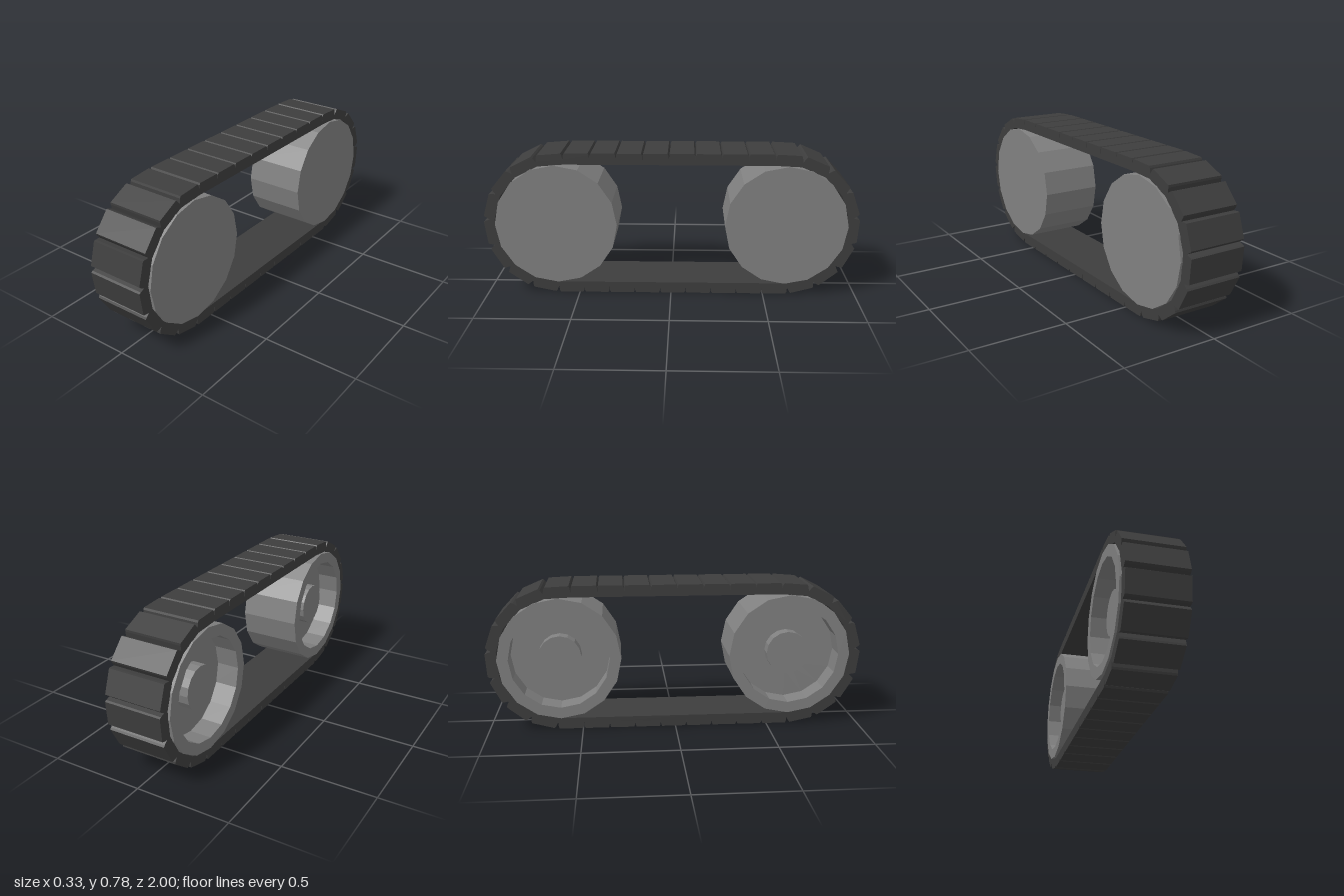
import * as THREE from 'three';

const AXLE_Z = 0.615, AXLE_Y = 0.39;
const WHEEL_R = 0.327, PITCH_R = 0.336;
const PADS = 33, BELT_W = 0.307, FIRST_JOINT = 0.01;

// Point on the stadium-shaped loop at distance s from the top middle
function loopPoint(s, r) {
  const arc = Math.PI * PITCH_R, straight = 2 * AXLE_Z;
  const half = straight + arc;
  const flip = s >= half ? -1 : 1;
  const t = s % half;
  const p = new THREE.Vector2();
  if (t < AXLE_Z) p.set(t, r);
  else if (t < AXLE_Z + arc) {
    const a = (t - AXLE_Z) / PITCH_R;
    p.set(AXLE_Z + r * Math.sin(a), r * Math.cos(a));
  } else p.set(AXLE_Z - (t - AXLE_Z - arc), -r);
  return p.multiplyScalar(flip);
}

// One closed band: smooth-running inside, separate tread pads outside
function makeTrack(material) {
  const length = 4 * AXLE_Z + 2 * Math.PI * PITCH_R;
  const joint = (i) => FIRST_JOINT + ((i % PADS) / PADS) * length;
  const outer = [], inner = [];
  for (let i = 0; i < PADS; i++) {
    const a = loopPoint(joint(i), PITCH_R), b = loopPoint(joint(i + 1), PITCH_R);
    const along = b.clone().sub(a).normalize();
    const out = new THREE.Vector2(-along.y, along.x);
    const corner = (p, shift, lift) =>
      p.clone().addScaledVector(along, shift).addScaledVector(out, lift);
    outer.push(
      loopPoint(joint(i), PITCH_R + 0.02),
      corner(a, 0.002, 0.044),
      corner(a, 0.007, 0.054),
      corner(b, -0.007, 0.054),
      corner(b, -0.002, 0.044)
    );
    inner.push(loopPoint(joint(i), PITCH_R - 0.006));
  }
  const shape = new THREE.Shape(outer);
  // The hole runs opposite to the outline so its walls face inward
  shape.holes.push(new THREE.Path(inner.reverse()));
  const geometry = new THREE.ExtrudeGeometry(shape, { depth: BELT_W, bevelEnabled: false });
  geometry.translate(0, 0, -BELT_W / 2).rotateY(-Math.PI / 2);
  const track = new THREE.Mesh(geometry, material);
  track.name = 'trackBelt';
  track.position.y = AXLE_Y;
  return track;
}

// Faceted drum: closed on the left, dished with a hub on the right
function makeWheelGeometry() {
  const profile = [
    [0, -0.115], [0.115, -0.115], [0.115, -0.045],
    [0.267, -0.045], [0.267, -0.164],
    [WHEEL_R, -0.164], [WHEEL_R, 0.164], [0, 0.164]
  ].map(([r, h]) => new THREE.Vector2(r, h));
  return new THREE.LatheGeometry(profile, 16).rotateZ(-Math.PI / 2);
}

export function createModel() {
  const model = new THREE.Group();
  model.name = 'trackAssembly';
  const rubber = new THREE.MeshStandardMaterial({ color: 0x3d3d3d, flatShading: true });
  const metal = new THREE.MeshStandardMaterial({ color: 0x808080, flatShading: true });

  model.add(makeTrack(rubber));

  const wheelGeometry = makeWheelGeometry();
  for (const [name, side] of [['frontWheel', 1], ['rearWheel', -1]]) {
    const wheel = new THREE.Mesh(wheelGeometry, metal);
    wheel.name = name;
    wheel.position.set(0, AXLE_Y, side * AXLE_Z);
    model.add(wheel);
  }
  return model;
}
